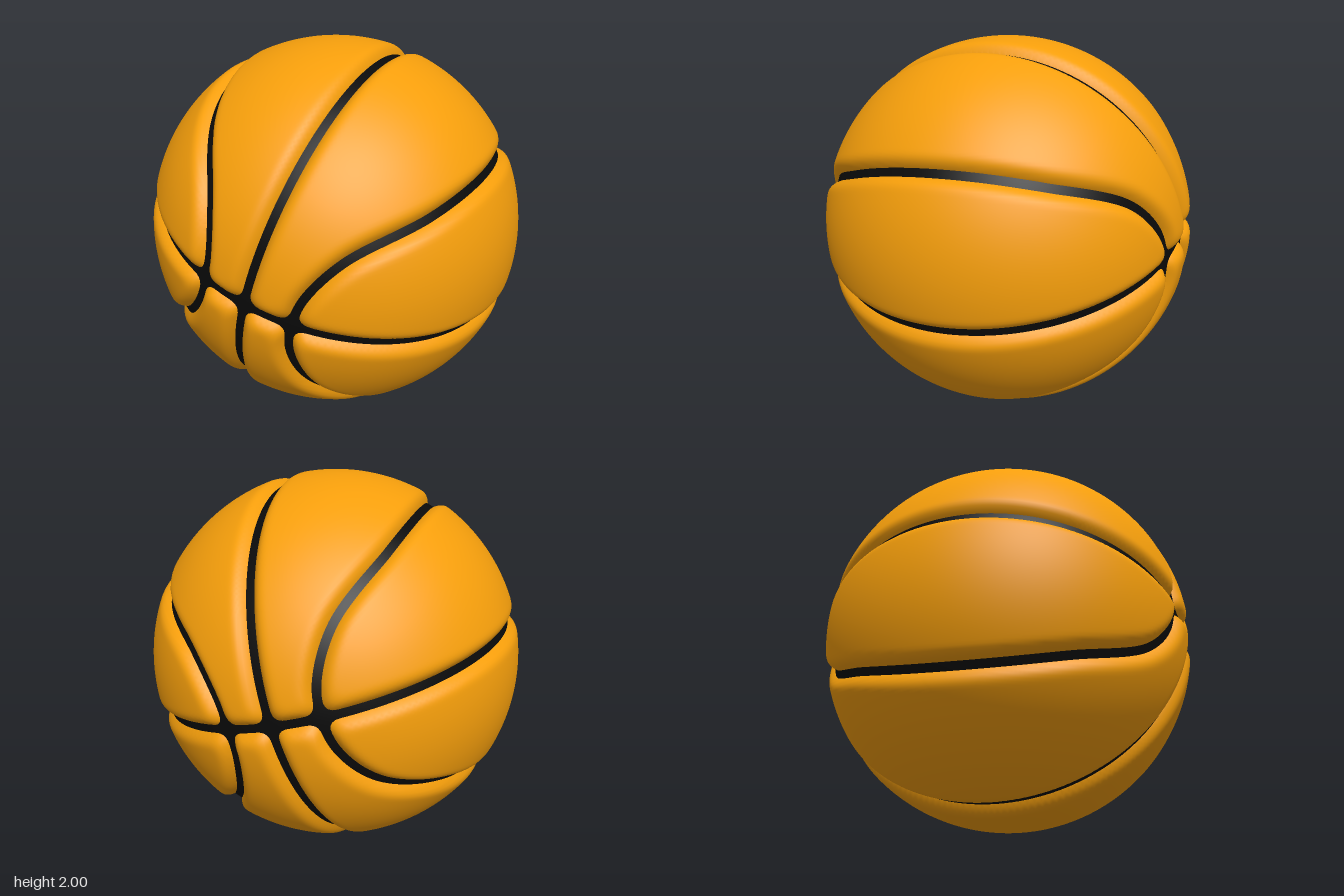
import * as THREE from 'three';
import { mergeVertices } from 'three/addons/utils/BufferGeometryUtils.js';

const SEAM = 0.022;    // half width of a seam
const DEPTH = 0.043;   // how far seams sit below the cover
const ROUND = 0.08;    // width of the rounded panel edge
const FILLET = 0.06;   // blending where seams cross

// One quarter of a curved side seam on the unit sphere; the rest is mirrored
function sideSeam() {
  const half = [[0.25, 0, 0.968], [0.268, 0.166, 0.95], [0.372, 0.387, 0.843],
    [0.606, 0.6, 0.518], [0.7, 0.69, 0.18]];
  const mirror = (sy, sz) => half.map(([x, y, z]) => new THREE.Vector3(x, sy * y, sz * z));
  const loop = [...mirror(1, 1), ...mirror(1, -1).reverse(),
    ...mirror(-1, -1).slice(1), ...mirror(-1, 1).reverse().slice(0, -1)];
  const curve = new THREE.CatmullRomCurve3(loop, true);
  return curve.getPoints(360).map((p) => p.normalize())
    .filter((p) => p.y > -0.03 && p.z > -0.03);
}

function smoothMin(a, b) {
  const h = Math.max(FILLET - Math.abs(a - b), 0) / FILLET;
  return Math.min(a, b) - h * h * FILLET / 4;
}

// Distance from a point on the unit sphere to the nearest seam
function makeSeamDistance() {
  const pts = sideSeam();
  const seg = new THREE.Line3();
  const q = new THREE.Vector3(), c = new THREE.Vector3();
  return (p) => {
    q.set(Math.abs(p.x), Math.abs(p.y), Math.abs(p.z));
    let best = 0, bestD = Infinity;
    pts.forEach((s, i) => {
      const d = s.distanceToSquared(q);
      if (d < bestD) { bestD = d; best = i; }
    });
    let side = Math.sqrt(bestD);
    for (const i of [best - 1, best]) {
      if (i < 0 || i + 1 >= pts.length || pts[i].distanceTo(pts[i + 1]) > 0.1) continue;
      seg.set(pts[i], pts[i + 1]).closestPointToPoint(q, true, c);
      side = Math.min(side, c.distanceTo(q));
    }
    return smoothMin(smoothMin(Math.asin(Math.min(q.x, 1)), Math.asin(Math.min(q.y, 1))), side);
  };
}

// Radius of the ball at distance d from a seam
function radiusAt(d) {
  const t = THREE.MathUtils.clamp((d - SEAM) / ROUND, 0, 1);
  return 1 - DEPTH * (1 - t) ** 3;
}

// Keep the part of a triangle on one side of the seam edge
function clip(tri, sign) {
  const out = [];
  tri.forEach((a, i) => {
    const b = tri[(i + 1) % 3];
    const va = a.d - SEAM, vb = b.d - SEAM;
    if (va * sign >= 0) out.push(a);
    if (va * vb < 0) {
      out.push({ p: a.p.clone().lerp(b.p, va / (va - vb)).normalize(), d: SEAM });
    }
  });
  return out;
}

function surface(name, triangles, sign, color) {
  const pos = [];
  for (const tri of triangles) {
    const poly = clip(tri, sign);
    for (let i = 1; i + 1 < poly.length; i++) {
      for (const v of [poly[0], poly[i], poly[i + 1]]) {
        const r = radiusAt(v.d);
        pos.push(v.p.x * r, v.p.y * r, v.p.z * r);
      }
    }
  }
  let geo = new THREE.BufferGeometry();
  geo.setAttribute('position', new THREE.Float32BufferAttribute(pos, 3));
  geo = mergeVertices(geo, 1e-3);
  geo.computeVertexNormals();
  const mesh = new THREE.Mesh(geo, new THREE.MeshStandardMaterial({ color }));
  mesh.name = name;
  return mesh;
}

export function createModel() {
  const seamDistance = makeSeamDistance();
  const base = new THREE.IcosahedronGeometry(1, 63).getAttribute('position');
  const triangles = [];
  for (let i = 0; i < base.count; i += 3) {
    triangles.push([0, 1, 2].map((k) => {
      const p = new THREE.Vector3().fromBufferAttribute(base, i + k);
      return { p, d: seamDistance(p) };
    }));
  }

  // Ball with seams aligned to its own axes, then tilted
  const ball = new THREE.Group();
  ball.name = 'ball';
  ball.add(surface('coverPanels', triangles, 1, 0xf59e0b));
  ball.add(surface('seams', triangles, -1, 0x0a0a0a));
  const up = new THREE.Vector3(0.287, 0.958, 0).normalize();
  const front = new THREE.Vector3(0.12, -0.036, 0.992).normalize();
  const side = up.clone().cross(front).normalize();
  front.crossVectors(side, up);
  ball.quaternion.setFromRotationMatrix(new THREE.Matrix4().makeBasis(side, up, front));
  ball.position.y = 1;

  const model = new THREE.Group();
  model.name = 'basketball';
  model.add(ball);
  return model;
}
